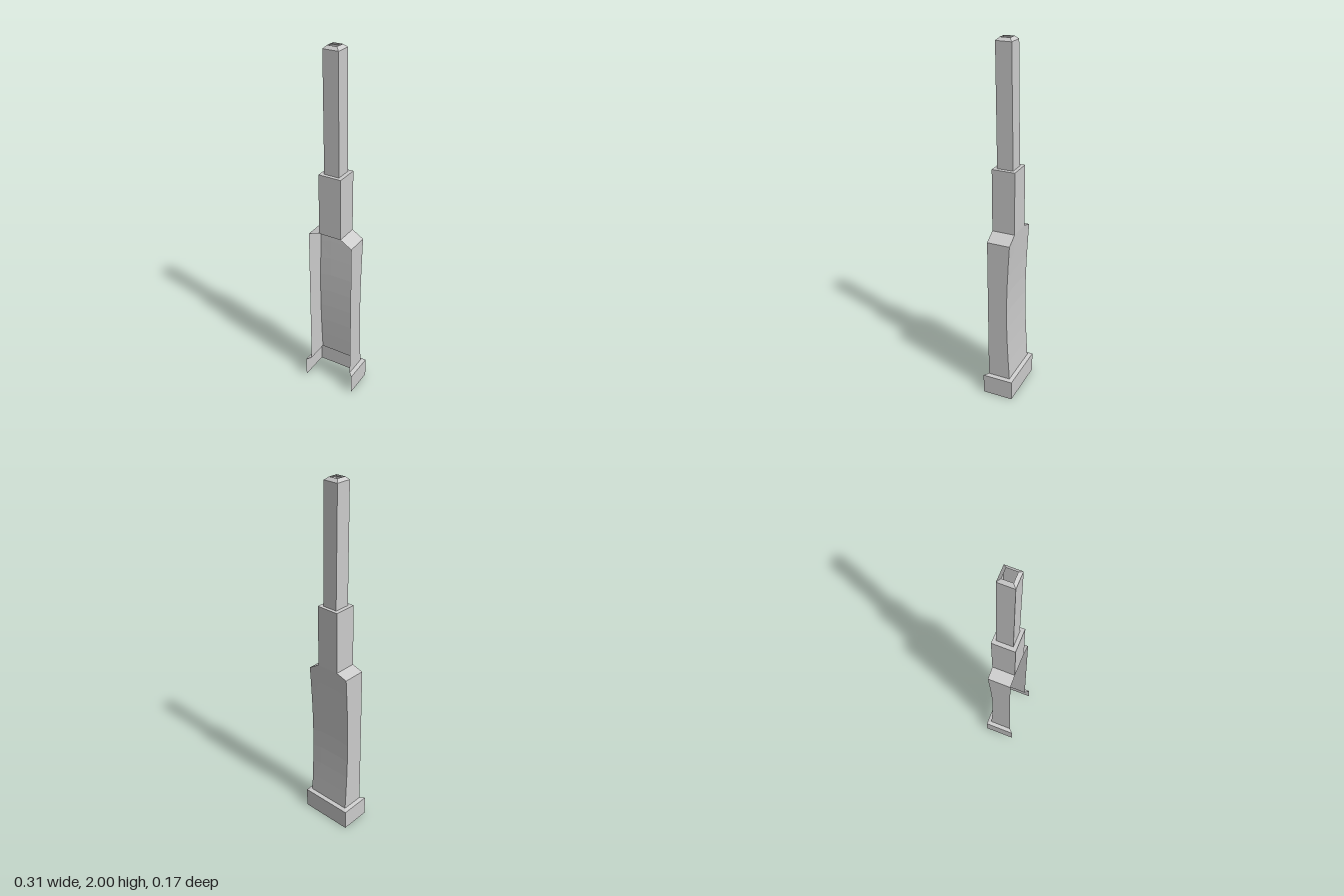
import * as THREE from 'three';

const material = new THREE.MeshStandardMaterial({
  color: 0xcccccc, flatShading: true, side: THREE.DoubleSide,
});

// Skin a list of cross-sections (rows of [x, y, z]), each open or closed into a ring.
function loft(name, rows, closed = false) {
  const n = rows[0].length, index = [];
  for (let r = 0; r < rows.length - 1; r++) {
    for (let i = 0; i < (closed ? n : n - 1); i++) {
      const j = (i + 1) % n;
      const a = r * n + i, b = r * n + j, c = a + n, d = b + n;
      index.push(a, c, b, b, c, d);
    }
  }
  const geometry = new THREE.BufferGeometry();
  geometry.setAttribute('position', new THREE.Float32BufferAttribute(rows.flat(2), 3));
  geometry.setIndex(index);
  geometry.computeVertexNormals();
  const mesh = new THREE.Mesh(geometry, material);
  mesh.name = name;
  return mesh;
}

// U-shaped section, open to the front
const channel = (x, y, back, front) =>
  [[-x, y, front], [-x, y, back], [x, y, back], [x, y, front]];

// Rectangular section
const ring = (x, y, back, front, dx = 0) =>
  [[dx - x, y, front], [dx - x, y, back], [dx + x, y, back], [dx + x, y, front]];

export function createModel() {
  const group = new THREE.Group();
  const W = 0.13, S = 0.065, BACK = -0.064, FRONT = 0.064;
  const BOTTOM = 0.12, LEFT_TOP = 0.96, RIGHT_TOP = 0.98;

  // Plinth with a narrow mitred ledge running up to the breast
  group.add(loft('plinth', [
    channel(0.153, 0, -0.087, 0.087),
    channel(0.153, 0.115, -0.087, 0.087),
  ]));
  group.add(loft('plinthLedge', [
    channel(0.153, 0.115, -0.087, 0.087),
    channel(W, BOTTOM, BACK, FRONT),
  ]));

  // Chimney breast: two sides and a back wall that bows gently inward
  const rows = [];
  for (let i = 0; i <= 8; i++) {
    const t = i / 8;
    const back = BACK + 0.017 * Math.sin(Math.PI * t);
    const y = (top) => BOTTOM + (top - BOTTOM) * t;
    rows.push([
      [-W, y(RIGHT_TOP), FRONT], [-W, y(RIGHT_TOP), back],
      [-S, y(1), back], [S, y(1), back],
      [W, y(LEFT_TOP), back], [W, y(LEFT_TOP), FRONT],
    ]);
  }
  group.add(loft('breast', rows));

  // Sloping shoulders, slightly uneven
  for (const [name, side, top] of [['leftShoulder', 1, LEFT_TOP], ['rightShoulder', -1, RIGHT_TOP]]) {
    group.add(loft(name, [
      [[side * S, 1, BACK], [side * S, 1, FRONT]],
      [[side * W, top, BACK], [side * W, top, FRONT]],
    ]));
  }

  // Lower stack, its ledge, the leaning flue and the bevelled open rim
  const stackBottom = ring(S, 1, BACK, FRONT);
  const stackTop = ring(S, 1.345, BACK, FRONT);
  const flueBottom = ring(0.043, 1.345, -0.045, 0.044);
  const flueTop = ring(0.043, 1.985, -0.036, 0.05);
  const rim = ring(0.026, 2, -0.019, 0.034, -0.001);
  group.add(loft('stack', [stackBottom, stackTop], true));
  group.add(loft('stackLedge', [stackTop, flueBottom], true));
  group.add(loft('flue', [flueBottom, flueTop], true));
  group.add(loft('flueRim', [flueTop, rim], true));

  return group;
}
